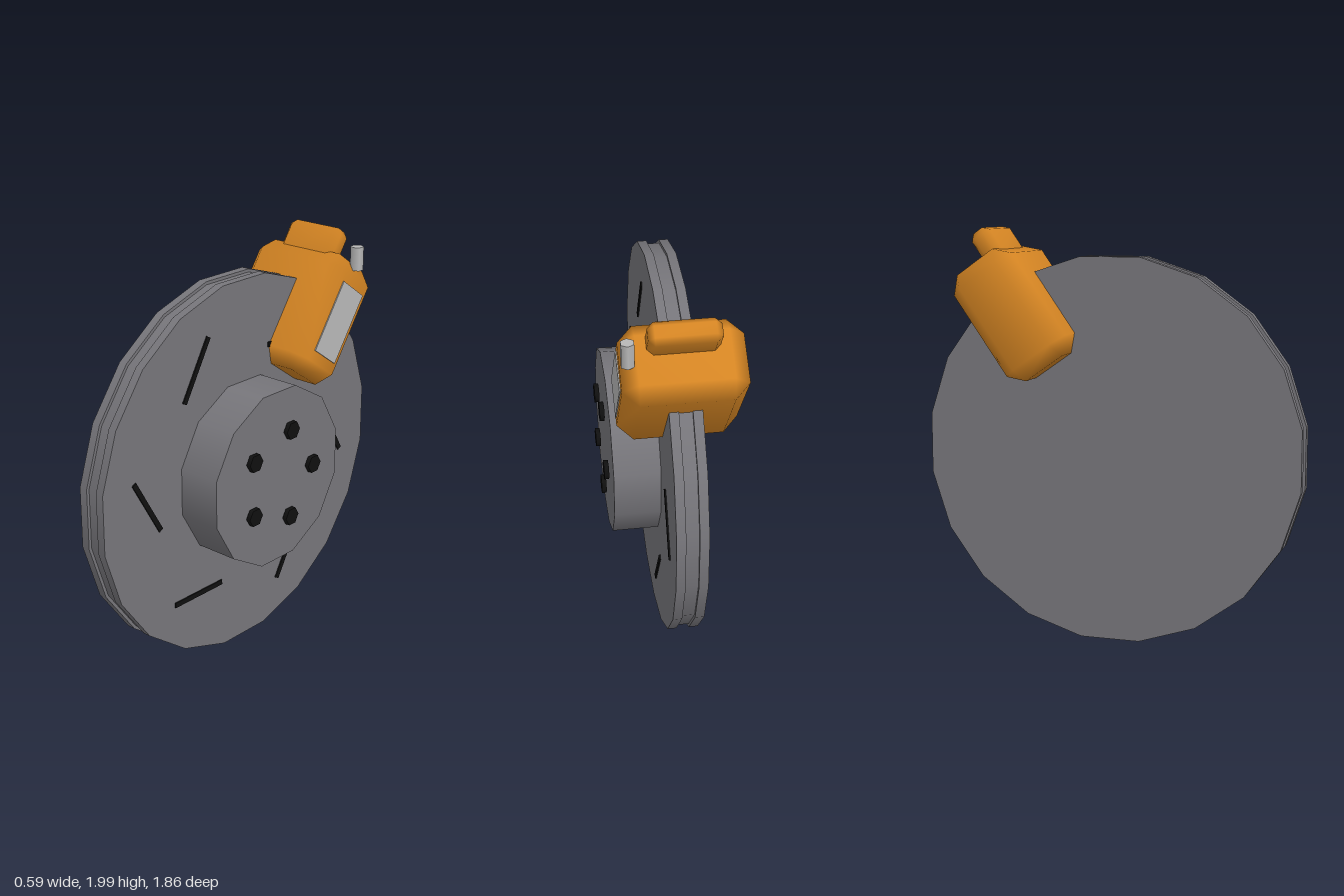
import * as THREE from 'three';
import { mergeVertices } from 'three/addons/utils/BufferGeometryUtils.js';
import { ConvexGeometry } from 'three/addons/geometries/ConvexGeometry.js';

const rad = THREE.MathUtils.degToRad;
const AXLE_Y = 0.93;
const MID_X = -0.025;

function material(name, color) {
  const m = new THREE.MeshStandardMaterial({ color });
  m.name = name;
  return m;
}

// Box with one flat bevel on every edge, shaded smoothly
function beveledBox(w, h, d, bevel) {
  const half = [w / 2, h / 2, d / 2];
  const points = [];
  for (let axis = 0; axis < 3; axis++)
    for (const sx of [-1, 1]) for (const sy of [-1, 1]) for (const sz of [-1, 1]) {
      const p = [sx, sy, sz].map((s, i) => s * (half[i] - (i === axis ? 0 : bevel)));
      points.push(new THREE.Vector3(...p));
    }
  let geo = new ConvexGeometry(points);
  geo.deleteAttribute('normal');
  geo = mergeVertices(geo, 1e-4);
  geo.computeVertexNormals();
  return geo;
}

// Polygonal cylinder lying along x, from x0 to x1
function axleCylinder(radius, x0, x1, sides, turn = 0) {
  const geo = new THREE.CylinderGeometry(radius, radius, x1 - x0, sides, 1, false, turn);
  geo.rotateZ(-Math.PI / 2);
  geo.translate((x0 + x1) / 2, 0, 0);
  return geo;
}

export function createModel() {
  const model = new THREE.Group();
  model.name = 'discBrake';
  const iron = material('iron grey', 0x77767b);
  const orange = material('caliper orange', 0xd58523);
  const silver = material('silver', 0xb8b8b8);
  const black = material('black', 0x101010);

  const add = (parent, name, geo, mat) => {
    const mesh = new THREE.Mesh(geo, mat);
    mesh.name = name;
    parent.add(mesh);
    return mesh;
  };

  // Rotor: two friction plates with a recessed core, and the hub
  const rotor = new THREE.Group();
  rotor.name = 'rotor';
  rotor.position.y = AXLE_Y;
  model.add(rotor);
  const step = Math.PI / 20;
  add(rotor, 'innerPlate', axleCylinder(0.94, MID_X - 0.073, MID_X - 0.03, 20, step), iron);
  add(rotor, 'ventCore', axleCylinder(0.925, MID_X - 0.03, MID_X + 0.03, 20, step), iron);
  add(rotor, 'outerPlate', axleCylinder(0.94, MID_X + 0.03, MID_X + 0.073, 20, step), iron);
  add(rotor, 'hub', axleCylinder(0.448, 0.046, 0.267, 12, Math.PI / 12), iron);

  // Slanted slots on the outer plate
  for (let i = 0; i < 6; i++) {
    const a = rad(60 * i);
    const slot = add(rotor, 'slot', new THREE.BoxGeometry(0.009, 0.025, 0.325), black);
    slot.position.set(0.0505, 0.66 * Math.sin(a), 0.66 * Math.cos(a));
    slot.rotation.x = -(a + rad(60));
  }

  // Ring of wheel bolts
  for (let i = 0; i < 5; i++) {
    const a = rad(180 + 72 * i);
    const bolt = add(rotor, 'wheelBolt', axleCylinder(0.046, 0.273, 0.296, 6), black);
    bolt.position.set(0, 0.235 * Math.sin(a), 0.235 * Math.cos(a));
  }

  // Caliper: leans back around the axle, local y is the radial direction
  const caliper = new THREE.Group();
  caliper.name = 'caliper';
  caliper.position.set(MID_X, AXLE_Y, 0);
  caliper.rotation.x = rad(-35);
  model.add(caliper);
  add(caliper, 'caliperBody', beveledBox(0.545, 0.604, 0.362, 0.07), orange)
    .position.set(0, 0.797, 0);
  add(caliper, 'caliperBridge', beveledBox(0.315, 0.2, 0.11, 0.028), orange)
    .position.set(0, 1.126, 0.073);
  add(caliper, 'sidePlate', new THREE.BoxGeometry(0.009, 0.36, 0.183), silver)
    .position.set(0.2735, 0.797, 0.003);

  // Upright bleed nipple on the caliper shoulder
  add(model, 'bleedNipple', new THREE.CylinderGeometry(0.032, 0.032, 0.115, 6), silver)
    .position.set(0.216, 1.8625, -0.625);

  return model;
}
